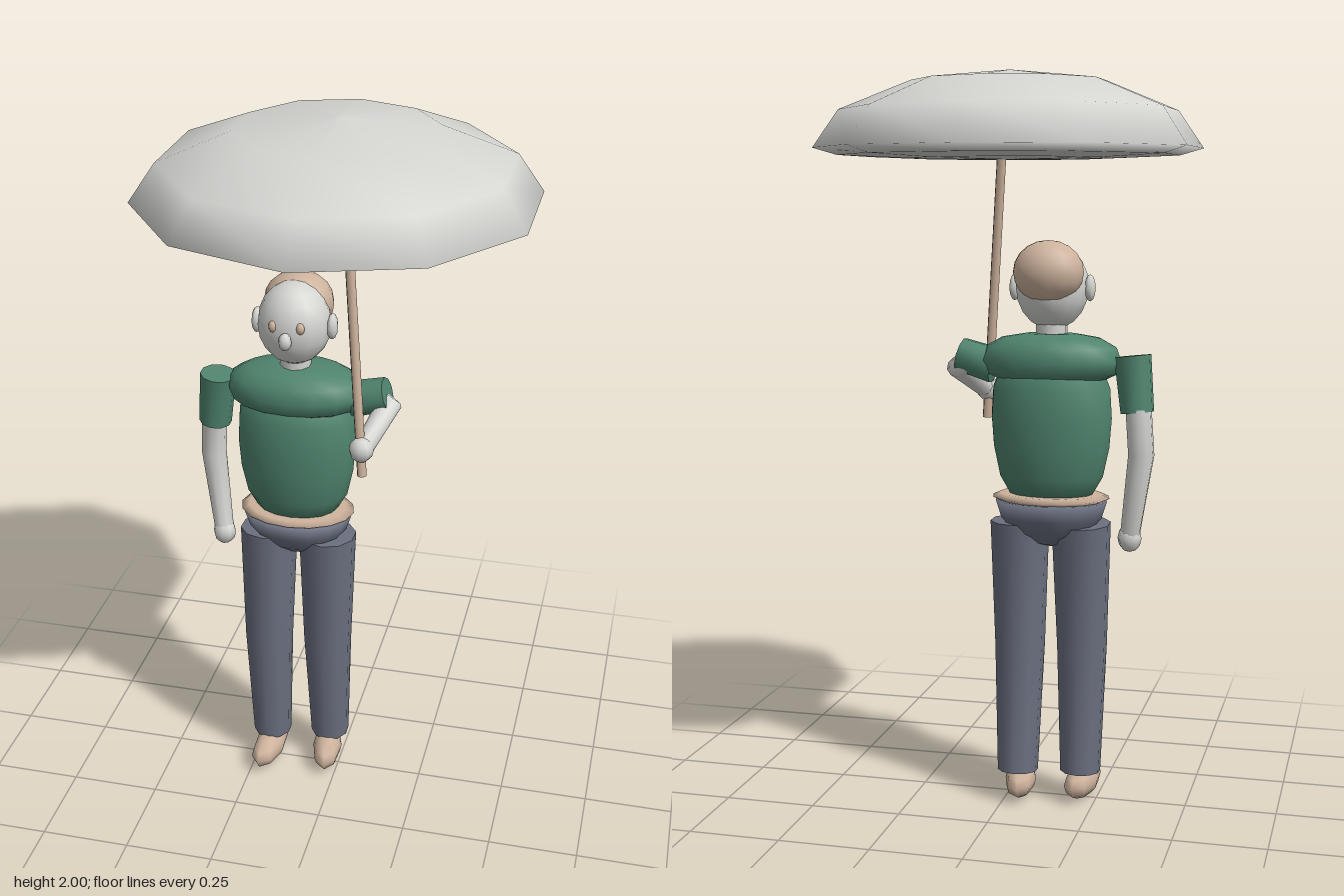
import * as THREE from 'three';

const mat = (name, color) => {
  const m = new THREE.MeshStandardMaterial({ color });
  m.name = name;
  return m;
};

export function createModel() {
  const pale = mat('pale grey', 0xd4d4d1);
  const green = mat('shirt green', 0x4f846e);
  const slate = mat('trouser slate', 0x6b7080);
  const tan = mat('tan', 0xcdb29c);

  const model = new THREE.Group();
  model.name = 'personWithUmbrella';
  const V = (p) => new THREE.Vector3(...p);

  const add = (name, geometry, material, parent = model) => {
    const mesh = new THREE.Mesh(geometry, material);
    mesh.name = name;
    parent.add(mesh);
    return mesh;
  };

  // Ellipsoid from a centre and three radii
  const ball = (name, material, pos, radii, parent, w = 14, h = 10) => {
    const mesh = add(name, new THREE.SphereGeometry(1, w, h), material, parent);
    mesh.position.set(...pos);
    mesh.scale.set(...radii);
    return mesh;
  };

  // Turned body section, squashed front to back
  const turned = (name, material, profile, depth, x, z, sides = 16) => {
    const geo = new THREE.LatheGeometry(profile.map((p) => new THREE.Vector2(...p)), sides);
    const mesh = add(name, geo, material);
    mesh.scale.z = depth;
    mesh.position.set(x, 0, z);
    return mesh;
  };

  // Closed tapered limb through a few points, with a radius at each
  const limb = (name, material, path, radii, parent = model, sides = 10) => {
    const pts = path.map(V);
    const pos = [];
    const index = [];
    const up = new THREE.Vector3(0, 1, 0);
    const ring = (i) => {
      const a = pts[Math.max(i - 1, 0)];
      const b = pts[Math.min(i + 1, pts.length - 1)];
      const q = new THREE.Quaternion().setFromUnitVectors(up, b.clone().sub(a).normalize());
      for (let s = 0; s < sides; s++) {
        const t = (s / sides) * Math.PI * 2;
        const v = new THREE.Vector3(Math.sin(t), 0, Math.cos(t)).multiplyScalar(radii[i]);
        pos.push(...v.applyQuaternion(q).add(pts[i]).toArray());
      }
    };
    pts.forEach((p, i) => ring(i));
    for (let i = 0; i < pts.length - 1; i++) {
      for (let s = 0; s < sides; s++) {
        const a = i * sides + s;
        const b = i * sides + ((s + 1) % sides);
        index.push(a, b, b + sides, a, b + sides, a + sides);
      }
    }
    // Flat end caps with their own vertices
    for (const end of [0, pts.length - 1]) {
      const c = pos.length / 3;
      pos.push(...pts[end].toArray());
      ring(end);
      for (let s = 0; s < sides; s++) {
        const a = c + 1 + s;
        const b = c + 1 + ((s + 1) % sides);
        index.push(c, ...(end === 0 ? [b, a] : [a, b]));
      }
    }
    const geo = new THREE.BufferGeometry();
    geo.setAttribute('position', new THREE.Float32BufferAttribute(pos, 3));
    geo.setIndex(index);
    geo.computeVertexNormals();
    return add(name, geo, material, parent);
  };

  const cx = -0.125;

  // Umbrella: ten-sided dome with a shallow underside
  turned('umbrellaCanopy', pale, [
    [0, 1.765], [0.27, 1.768], [0.46, 1.776], [0.525, 1.795],
    [0.455, 1.895], [0.262, 1.972], [0, 2],
  ], 1, 0, 0, 10);
  limb('umbrellaPole', tan, [[0.087, 1.055, 0.09], [0.028, 1.79, 0.027]], [0.013, 0.013], model, 8);

  // Head
  const head = new THREE.Group();
  head.name = 'head';
  head.position.set(cx, 1.43, -0.03);
  model.add(head);
  ball('skull', pale, [0, 0, 0], [0.1, 0.115, 0.097], head);
  ball('hair', tan, [0, 0.04, -0.05], [0.096, 0.084, 0.081], head);
  ball('nose', pale, [0, -0.015, 0.102], [0.018, 0.024, 0.02], head, 8, 6);
  for (const s of [-1, 1]) {
    ball('ear', pale, [s * 0.103, -0.003, 0], [0.015, 0.036, 0.027], head, 8, 6);
    ball('eye', tan, [s * 0.037, 0.018, 0.084], [0.012, 0.016, 0.012], head, 8, 6);
  }
  limb('neck', pale, [[cx, 1.27, -0.035], [cx, 1.35, -0.035]], [0.042, 0.042]);

  // Torso, belt and hips
  turned('shoulders', green, [
    [0, 1.17], [0.13, 1.175], [0.178, 1.198], [0.192, 1.232],
    [0.178, 1.27], [0.135, 1.294], [0.07, 1.305], [0, 1.306],
  ], 0.61, cx, -0.04);
  turned('shirtBody', green, [
    [0, 0.862], [0.112, 0.866], [0.143, 0.92], [0.16, 1.0], [0.166, 1.08],
    [0.161, 1.16], [0.13, 1.24], [0, 1.27],
  ], 0.71, cx, -0.037);
  turned('belt', tan, [
    [0, 0.85], [0.14, 0.851], [0.162, 0.861], [0.14, 0.871], [0, 0.872],
  ], 0.74, cx, -0.037);
  turned('hips', slate, [
    [0, 0.722], [0.055, 0.735], [0.105, 0.765], [0.14, 0.805], [0.155, 0.852], [0, 0.857],
  ], 0.73, cx, -0.037);

  // Legs and shoes; the right foot is slightly ahead
  const legs = [
    { name: 'right', x: -0.208, knee: -0.007, foot: -0.02, turn: -0.12 },
    { name: 'left', x: -0.037, knee: -0.027, foot: -0.053, turn: 0.12 },
  ];
  for (const { name, x, knee, foot, turn } of legs) {
    limb(name + 'Leg', slate,
      [[x, 0.085, foot], [x, 0.44, knee], [x, 0.79, -0.03]], [0.056, 0.069, 0.081]);
    const shoe = ball(name + 'Shoe', tan, [x, 0.046, foot + 0.035], [0.043, 0.046, 0.104], model, 8, 6);
    shoe.rotation.y = turn;
  }

  // Right arm hanging at the side
  limb('rightSleeve', green, [[-0.362, 1.1, -0.05], [-0.346, 1.25, -0.04]], [0.045, 0.05]);
  limb('rightArm', pale,
    [[-0.344, 0.77, -0.035], [-0.378, 0.99, -0.075], [-0.358, 1.2, -0.045]], [0.027, 0.035, 0.035]);
  ball('rightHand', pale, [-0.342, 0.755, -0.033], [0.033, 0.038, 0.033], model, 8, 6);

  // Left arm bent to hold the pole
  limb('leftSleeve', green, [[0.03, 1.215, -0.04], [0.128, 1.243, -0.035]], [0.05, 0.046]);
  limb('leftForearm', pale,
    [[0.09, 1.138, 0.085], [0.132, 1.21, -0.04], [0.09, 1.23, -0.045]], [0.027, 0.034, 0.03]);
  ball('leftHand', pale, [0.085, 1.135, 0.093], [0.034, 0.035, 0.033], model, 8, 6);

  return model;
}
